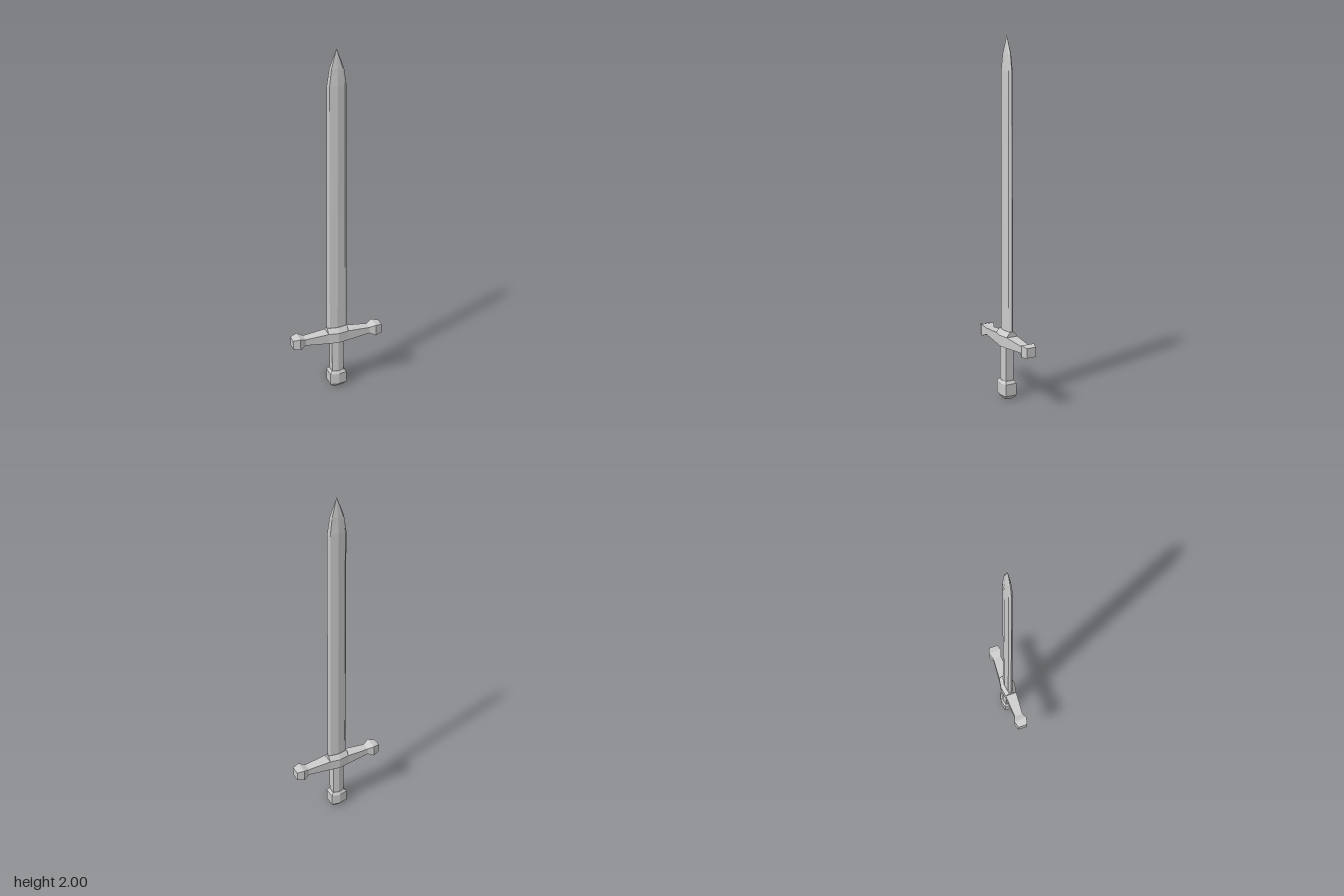
import * as THREE from 'three';

const material = new THREE.MeshStandardMaterial({ color: 0xcccccc, flatShading: true });

// Skins rings of [x, y, z] points (counter-clockwise seen from the end of the loft) and caps both ends.
function loft(name, rings) {
  const pos = [];
  const n = rings[0].length;
  const tri = (a, b, c) => pos.push(...a, ...b, ...c);
  for (let r = 0; r < rings.length - 1; r++) {
    for (let i = 0; i < n; i++) {
      const j = (i + 1) % n;
      const [a, b, c, d] = [rings[r][i], rings[r][j], rings[r + 1][j], rings[r + 1][i]];
      tri(a, b, c);
      tri(a, c, d);
    }
  }
  const first = rings[0], last = rings[rings.length - 1];
  for (let i = 1; i < n - 1; i++) {
    tri(first[0], first[i + 1], first[i]);
    tri(last[0], last[i], last[i + 1]);
  }
  const geometry = new THREE.BufferGeometry();
  geometry.setAttribute('position', new THREE.Float32BufferAttribute(pos, 3));
  geometry.computeVertexNormals();
  const mesh = new THREE.Mesh(geometry, material);
  mesh.name = name;
  return mesh;
}

// Six-sided horizontal section: flat sides at +-x, ridge at +-z.
const hexRing = ([y, x, side, ridge]) => [
  [x, y, side], [x, y, -side], [0, y, -ridge],
  [-x, y, -side], [-x, y, side], [0, y, ridge],
];

// Blade section: sharp edges at +-x, bevels, and a central ridge.
const bladeRing = ([y, x, bevelX, bevelZ, ridge]) => [
  [x, y, 0], [bevelX, y, -bevelZ], [0, y, -ridge], [-bevelX, y, -bevelZ],
  [-x, y, 0], [-bevelX, y, bevelZ], [0, y, ridge], [bevelX, y, bevelZ],
];

// Rectangular section across the guard.
const guardRing = ([x, y0, y1, z]) => [
  [x, y0, z], [x, y0, -z], [x, y1, -z], [x, y1, z],
];

export function createModel() {
  const sword = new THREE.Group();
  sword.name = 'sword';

  // Pommel: y, half width, half depth at the sides, half depth at the ridge
  sword.add(loft('pommel', [
    [0, 0.033, 0.02, 0.027],
    [0.022, 0.05, 0.034, 0.044],
    [0.09, 0.05, 0.034, 0.044],
    [0.106, 0.037, 0.025, 0.034],
  ].map(hexRing)));

  // Grip
  sword.add(loft('grip', [
    [0.1, 0.035, 0.023, 0.032],
    [0.31, 0.035, 0.023, 0.032],
  ].map(hexRing)));

  // Guard, mirrored from its middle to the flared ends
  const half = [
    [0, 0.305, 0.366, 0.044],
    [0.06, 0.305, 0.366, 0.034],
    [0.195, 0.317, 0.355, 0.025],
    [0.23, 0.302, 0.37, 0.039],
    [0.27, 0.308, 0.362, 0.027],
  ];
  const mirrored = half.slice(1).reverse().map(([x, ...rest]) => [-x, ...rest]);
  sword.add(loft('guard', [...mirrored, ...half].map(guardRing)));

  // Collar sloping from the guard up to the blade
  sword.add(loft('collar', [
    [0.36, 0.06, 0.034, 0.044],
    [0.366, 0.06, 0.034, 0.044],
    [0.393, 0.06, 0.012, 0.022],
  ].map(hexRing)));

  // Blade, tapering gently and then to a point
  sword.add(loft('blade', [
    [0.36, 0.06, 0.046, 0.013, 0.02],
    [1.81, 0.054, 0.042, 0.012, 0.019],
    [1.9, 0.04, 0.03, 0.009, 0.013],
    [2, 0, 0, 0, 0],
  ].map(bladeRing)));

  return sword;
}
